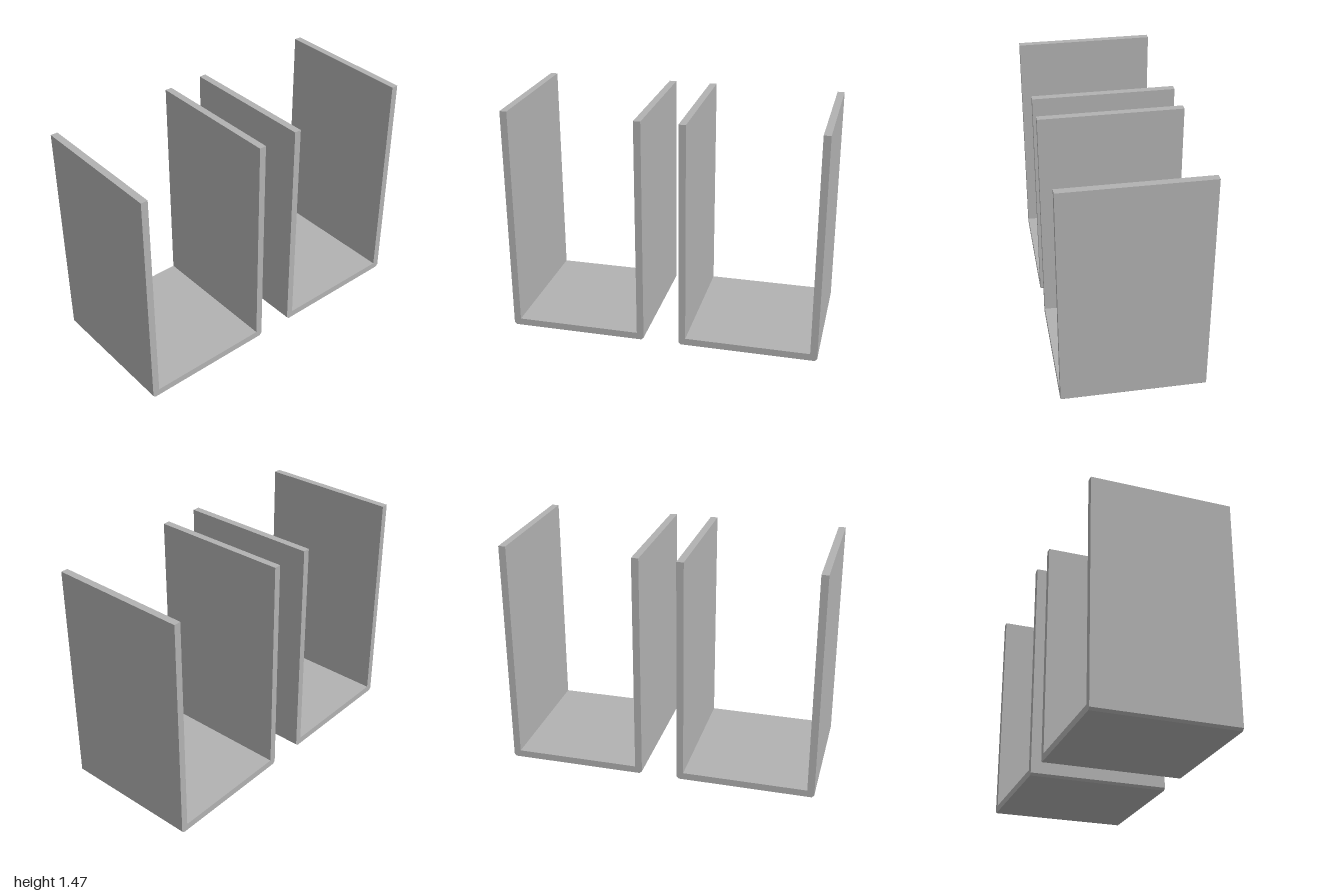
import * as THREE from 'three';

const WIDTH = 0.885, HEIGHT = 1.472, DEPTH = 0.9, WALL = 0.045, BEVEL = 0.015;

// U-shaped cross-section with small chamfers on the outer bottom corners
function channelGeometry() {
  const w = WIDTH / 2, inner = w - WALL;
  const profile = new THREE.Shape([
    [-w + BEVEL, 0], [w - BEVEL, 0], [w, BEVEL], [w, HEIGHT],
    [inner, HEIGHT], [inner, WALL], [-inner, WALL], [-inner, HEIGHT],
    [-w, HEIGHT], [-w, BEVEL],
  ].map(([x, y]) => new THREE.Vector2(x, y)));
  const geometry = new THREE.ExtrudeGeometry(profile, { depth: DEPTH, bevelEnabled: false });
  return geometry.translate(0, 0, -DEPTH / 2);
}

export function createModel() {
  const model = new THREE.Group();
  model.name = 'channelPair';
  const grey = new THREE.MeshStandardMaterial({ color: 0xb2b2b2 });
  grey.name = 'grey';
  const geometry = channelGeometry();

  // Two identical channels side by side
  for (const [name, side] of [['leftChannel', 1], ['rightChannel', -1]]) {
    const channel = new THREE.Mesh(geometry, grey);
    channel.name = name;
    channel.position.x = side * (1 - WIDTH / 2);
    model.add(channel);
  }
  return model;
}
